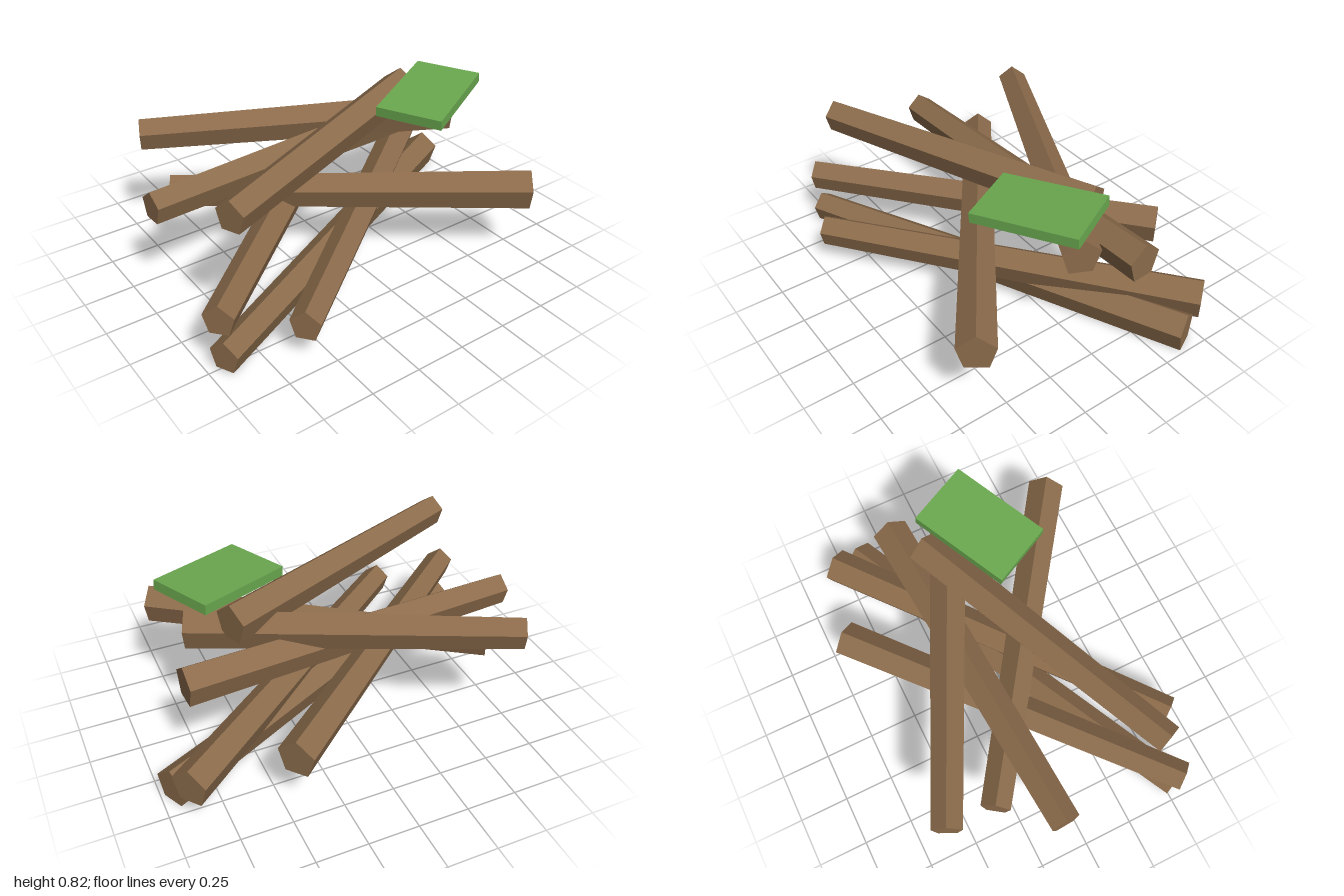
import * as THREE from 'three';

export function createModel() {
  const group = new THREE.Group();
  const bark = new THREE.MeshStandardMaterial({ color: 0x8b6b4b, flatShading: true });
  bark.name = 'woodBrown';
  const leaf = new THREE.MeshStandardMaterial({ color: 0x6aa84f, flatShading: true });
  leaf.name = 'leafGreen';

  // Tapered five-sided log between a thin end and a thick end, one ridge on top
  function addLog(x0, z0, x1, z1, y) {
    const length = Math.hypot(x1 - x0, z1 - z0);
    const geometry = new THREE.CylinderGeometry(0.0946, 0.0756, length, 5, 1, false, -Math.PI / 2);
    geometry.rotateZ(-Math.PI / 2);
    geometry.scale(1, 1.07, 1);
    const log = new THREE.Mesh(geometry, bark);
    log.position.set((x0 + x1) / 2, y, (z0 + z1) / 2);
    log.rotation.y = Math.atan2(z0 - z1, x1 - x0);
    return log;
  }

  // Pile of logs, bottom to top: thin end x, z, thick end x, z
  const logs = [
    [-0.938, 0.533, 0.955, -0.405],
    [-0.612, 0.668, 0.904, -0.543],
    [-0.953, 0.535, 0.447, -0.666],
    [-0.70, -0.364, 0.733, 0.644],
    [-0.92, -0.115, 0.803, -0.226],
    [-0.725, -0.617, 0.70, 0.062],
    [-0.82, 0.444, 0.542, -0.142],
  ];
  logs.forEach((ends, i) => {
    const log = addLog(...ends, 0.083 + i * 0.1027);
    log.name = `log${i + 1}`;
    group.add(log);
  });

  // Tilted green slab resting on the pile
  const slab = new THREE.Mesh(new THREE.BoxGeometry(0.515, 0.05, 0.336), leaf);
  slab.name = 'greenSlab';
  slab.position.set(0.4935, 0.772, 0.14);
  slab.rotation.set(0, 0.472, 0.087, 'YXZ');
  group.add(slab);

  return group;
}
